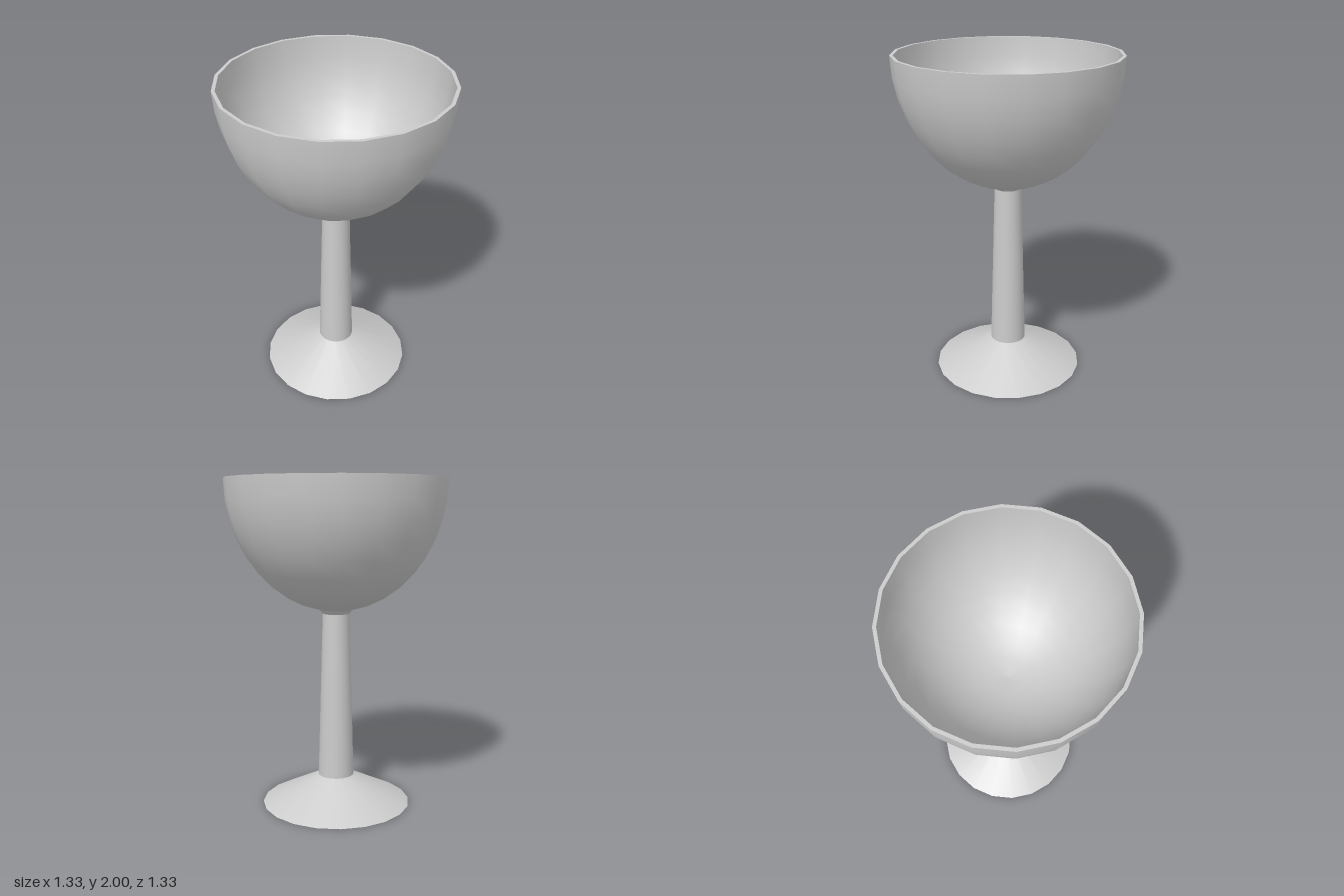
import * as THREE from 'three';

const SIDES = 20;
const RIM_Y = 2;
const material = new THREE.MeshStandardMaterial({ color: 0xcccccc });

// One smooth surface of revolution; profile runs upward on outward faces
function turned(name, profile) {
  const points = profile.map(([r, y]) => new THREE.Vector2(r, y));
  const mesh = new THREE.Mesh(new THREE.LatheGeometry(points, SIDES), material);
  mesh.name = name;
  return mesh;
}

// Half-ellipse profile hanging below the rim, from startStep up to the rim
function bowlProfile(radius, depth, startStep, steps = 10) {
  const profile = [];
  for (let i = startStep; i <= steps; i++) {
    const a = (i / steps) * Math.PI / 2;
    profile.push([radius * Math.sin(a), RIM_Y - depth * Math.cos(a)]);
  }
  return profile;
}

export function createModel() {
  const goblet = new THREE.Group();
  goblet.name = 'goblet';

  const outer = bowlProfile(0.665, 0.79, 1);
  const inner = bowlProfile(0.645, 0.77, 0).reverse();

  // Separate surfaces keep the edges between them sharp
  goblet.add(
    turned('footBase', [[0, 0], [0.46, 0]]),
    turned('foot', [[0.46, 0], [0.11, 0.175]]),
    turned('stem', [[0.11, 0.175], [0.082, 1.195]]),
    turned('collar', [[0.082, 1.195], outer[0]]),
    turned('bowlOutside', outer),
    turned('rim', [[0.665, RIM_Y], [0.645, RIM_Y]]),
    turned('bowlInside', inner),
  );
  return goblet;
}
